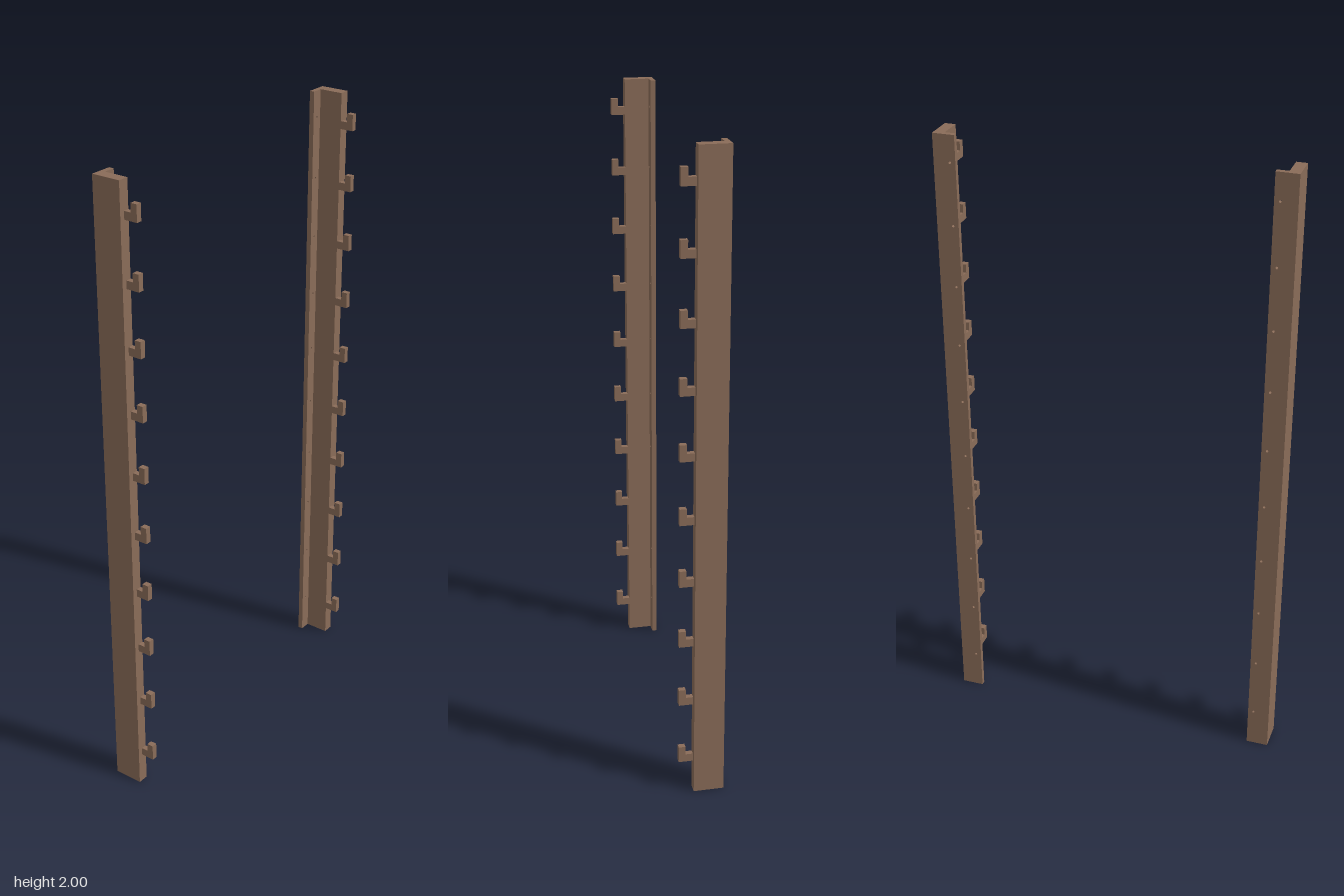
import * as THREE from 'three';

const HEIGHT = 2, COUNT = 10, FIRST = 0.1, STEP = 0.1985;
const BACK = -0.069, FRONT = 0.025, TIP = 0.069;

export function createModel() {
  const model = new THREE.Group();
  model.name = 'hookRails';
  const brown = new THREE.MeshStandardMaterial({ color: 0x8a6c58 });
  brown.name = 'brown wood';

  const addMesh = (parent, name, geometry, x, y, z) => {
    const mesh = new THREE.Mesh(geometry, brown);
    mesh.name = name;
    mesh.position.set(x, y, z);
    parent.add(mesh);
  };

  // Main post
  const post = new THREE.BoxGeometry(0.034, HEIGHT, FRONT - BACK);

  // Mounting flange with a screw hole beside each hook
  const plate = new THREE.Shape();
  plate.moveTo(-0.018, 0).lineTo(0.018, 0).lineTo(0.018, HEIGHT).lineTo(-0.018, HEIGHT).closePath();
  for (let i = 0; i < COUNT; i++) {
    const hole = new THREE.Path();
    hole.absarc(0, FIRST + 0.028 + i * STEP, 0.004, 0, Math.PI * 2, true);
    plate.holes.push(hole);
  }
  const flange = new THREE.ExtrudeGeometry(plate, { depth: 0.016, bevelEnabled: false, curveSegments: 12 });

  // L-shaped hook: profile drawn in (z, y), then turned to face the front
  const w = 0.018, reach = TIP - FRONT;
  const profile = new THREE.Shape();
  profile.moveTo(0, 0).lineTo(reach, 0).lineTo(reach, 0.052).lineTo(reach - 0.021, 0.052)
    .lineTo(reach - 0.021, 0.025).lineTo(0, 0.025).closePath();
  const hook = new THREE.ExtrudeGeometry(profile, { depth: w, bevelEnabled: false });
  hook.translate(0, 0, -w / 2).rotateY(-Math.PI / 2);

  for (const [side, name] of [[1, 'leftRail'], [-1, 'rightRail']]) {
    const rail = new THREE.Group();
    rail.name = name;
    addMesh(rail, 'post', post, side * 0.532, HEIGHT / 2, (FRONT + BACK) / 2);
    addMesh(rail, 'flange', flange, side * 0.497, 0, BACK);
    for (let i = 0; i < COUNT; i++) {
      addMesh(rail, 'hook', hook, side * 0.524, FIRST + i * STEP, FRONT);
    }
    model.add(rail);
  }
  return model;
}
